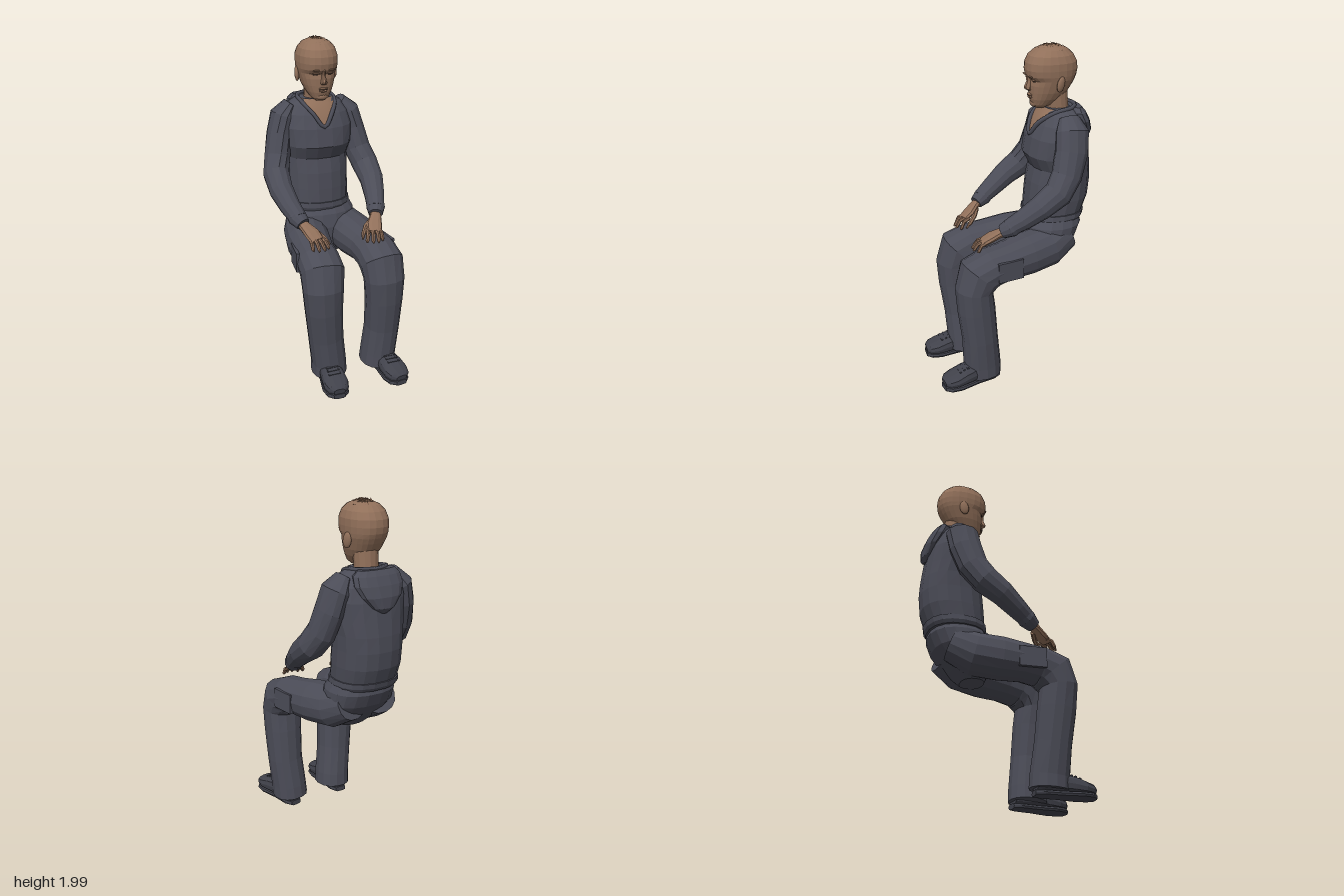
import * as THREE from 'three';

const mat = (name, color) => Object.assign(new THREE.MeshStandardMaterial({ color }), { name });
const V = (x, y, z) => new THREE.Vector3(x, y, z);

// Faceted loft: each section is [x, y, z, halfWidth, halfDepth]; p is the superellipse power.
// Sections turn with the path unless a fixed axis is given.
function loft(sections, n = 14, p = 2, axis = null) {
  const pos = [], idx = [], c = sections.map(s => V(s[0], s[1], s[2]));
  const bend = (v) => Math.sign(v) * Math.abs(v) ** (2 / p);
  sections.forEach((s, i) => {
    const t = axis ? axis.clone()
      : c[Math.min(i + 1, c.length - 1)].clone().sub(c[Math.max(i - 1, 0)]).normalize();
    const u = V(1, 0, 0).addScaledVector(t, -t.x).normalize();
    const v = t.clone().cross(u);
    for (let k = 0; k < n; k++) {
      const a = (k / n) * Math.PI * 2;
      const q = c[i].clone().addScaledVector(u, s[3] * bend(Math.cos(a))).addScaledVector(v, s[4] * bend(Math.sin(a)));
      pos.push(q.x, q.y, q.z);
    }
  });
  const last = c.length - 1, m = c.length * n;
  for (const e of [c[0], c[last]]) pos.push(e.x, e.y, e.z);
  for (let k = 0; k < n; k++) {
    const k2 = (k + 1) % n;
    for (let i = 0; i < last; i++) {
      const a = i * n + k, b = i * n + k2;
      idx.push(a, b, b + n, a, b + n, a + n);
    }
    idx.push(m, k2, k, m + 1, last * n + k, last * n + k2);
  }
  const g = new THREE.BufferGeometry();
  g.setAttribute('position', new THREE.Float32BufferAttribute(pos, 3));
  g.setIndex(idx);
  const flat = g.toNonIndexed();
  flat.computeVertexNormals();
  return flat;
}

// Upright loft from [y, halfWidth, zFront, zBack]
const UP = V(0, 1, 0);
const upright = (rows, cx = 0, n = 18, p = 2.3) =>
  loft(rows.map(([y, w, f, b]) => [cx, y, (f + b) / 2, w, (f - b) / 2]), n, p, UP);

// Front surface depth of an upright profile
function frontZ(rows, x, y, p = 2.3) {
  let i = 0;
  while (i < rows.length - 2 && rows[i + 1][0] < y) i++;
  const a = rows[i], b = rows[i + 1], k = THREE.MathUtils.clamp((y - a[0]) / (b[0] - a[0]), 0, 1);
  const [w, f, r] = [1, 2, 3].map(j => a[j] + (b[j] - a[j]) * k);
  const s = Math.max(0, 1 - Math.min(1, Math.abs(x) / w) ** p) ** (1 / p);
  return (f + r) / 2 + (f - r) / 2 * s;
}

const TORSO = [[0.95, 0.185, -0.12, -0.445], [1.0, 0.19, -0.115, -0.465], [1.08, 0.195, -0.12, -0.495],
  [1.18, 0.195, -0.13, -0.505], [1.27, 0.2, -0.15, -0.5], [1.35, 0.215, -0.11, -0.49], [1.46, 0.225, -0.13, -0.475],
  [1.54, 0.205, -0.165, -0.455], [1.59, 0.165, -0.195, -0.435], [1.625, 0.11, -0.225, -0.4]];
const HEAD = [[1.625, 0.03, -0.17, -0.23], [1.645, 0.055, -0.148, -0.27], [1.68, 0.076, -0.138, -0.33],
  [1.72, 0.093, -0.135, -0.365], [1.76, 0.104, -0.133, -0.39], [1.79, 0.112, -0.138, -0.405], [1.815, 0.117, -0.115, -0.415],
  [1.85, 0.12, -0.108, -0.42], [1.89, 0.119, -0.112, -0.415], [1.93, 0.106, -0.13, -0.393],
  [1.96, 0.08, -0.165, -0.36], [1.98, 0.04, -0.21, -0.31]];

export function createModel() {
  const cloth = mat('cloth', 0x4b4c57), shoeMat = mat('shoe', 0x41424b);
  const skin = mat('skin', 0x91705a), hairMat = mat('hair', 0x856650), eyeMat = mat('eye', 0x3f3029);
  skin.side = THREE.DoubleSide;
  const model = new THREE.Group();
  const add = (name, geo, material, parent = model) => {
    const m = new THREE.Mesh(geo, material);
    m.name = name;
    parent.add(m);
    return m;
  };

  // Sweater body, hem band and trouser seat
  add('sweater', upright(TORSO), cloth);
  add('sweaterHem', upright([[0.945, 0.19, -0.112, -0.452], [0.965, 0.2, -0.105, -0.465], [0.995, 0.197, -0.108, -0.472]]), cloth);
  add('trouserSeat', upright([[0.665, 0.09, -0.1, -0.24], [0.72, 0.16, -0.08, -0.3], [0.78, 0.195, -0.07, -0.36],
    [0.84, 0.21, -0.07, -0.41], [0.92, 0.205, -0.09, -0.445], [0.97, 0.18, -0.125, -0.435]], 0.015), cloth);

  // Folded hood hanging on the back
  add('hood', upright([[1.4, 0.02, -0.45, -0.49], [1.43, 0.07, -0.43, -0.507], [1.49, 0.125, -0.4, -0.505],
    [1.55, 0.155, -0.36, -0.485], [1.6, 0.15, -0.34, -0.46], [1.63, 0.12, -0.36, -0.435]], 0, 14), cloth);

  // V neckline: skin patch over the chest and a collar around it
  const patch = new THREE.PlaneGeometry(2, 1, 8, 6), pp = patch.attributes.position;
  for (let i = 0; i < pp.count; i++) {
    const k = pp.getY(i) + 0.5, y = 1.475 + 0.15 * k, x = pp.getX(i) * 0.105 * k;
    pp.setXYZ(i, x, y, frontZ(TORSO, x, y) + 0.005);
  }
  patch.computeVertexNormals();
  add('chestSkin', patch, skin);
  const half = [[0.06, 1.55, -0.165], [0.105, 1.61, -0.25], [0.095, 1.628, -0.36]];
  const ring = [V(0, 1.472, -0.135), ...half.map(q => V(...q)), V(0, 1.63, -0.41),
    ...half.slice().reverse().map(([x, y, z]) => V(-x, y, z))];
  add('collar', new THREE.TubeGeometry(new THREE.CatmullRomCurve3(ring, true), 40, 0.013, 6, true), cloth);

  // Neck and head
  add('neck', loft([[0, 1.56, -0.315, 0.085, 0.08], [0, 1.63, -0.305, 0.07, 0.068], [0, 1.75, -0.29, 0.072, 0.075]], 14, 2, UP), skin);
  const head = new THREE.Group();
  head.name = 'head';
  head.position.x = -0.006;
  model.add(head);
  add('skull', upright(HEAD, 0, 22), skin, head);
  add('nose', upright([[1.728, 0.012, -0.125, -0.14], [1.738, 0.022, -0.105, -0.15], [1.752, 0.018, -0.1, -0.15],
    [1.785, 0.011, -0.115, -0.15], [1.82, 0.01, -0.112, -0.14]], 0, 8, 2), skin, head);
  const blob = (name, m, x, y, z, sx, sy, sz) => {
    const b = add(name, new THREE.SphereGeometry(1, 12, 8), m, head);
    b.position.set(x, y, z);
    b.scale.set(sx, sy, sz);
    return b;
  };
  blob('upperLip', skin, 0, 1.705, -0.136, 0.03, 0.007, 0.012);
  blob('lowerLip', skin, 0, 1.69, -0.138, 0.025, 0.008, 0.012);
  blob('mouthLine', eyeMat, 0, 1.698, -0.133, 0.028, 0.002, 0.009);
  blob('chin', skin, 0, 1.652, -0.16, 0.035, 0.022, 0.02);
  for (const s of [-1, 1]) {
    blob('eye', eyeMat, s * 0.043, 1.788, frontZ(HEAD, 0.043, 1.788), 0.018, 0.005, 0.004);
    blob('eyelid', skin, s * 0.043, 1.796, frontZ(HEAD, 0.043, 1.796), 0.022, 0.006, 0.008);
    blob('brow', hairMat, s * 0.045, 1.816, frontZ(HEAD, 0.045, 1.816), 0.027, 0.005, 0.006);
    const ear = blob('ear', skin, s * 0.116, 1.775, -0.28, 0.014, 0.046, 0.028);
    ear.rotation.set(-0.2, s * 0.35, 0);
  }

  // Choppy hair swept forward and to one side
  let seed = 7;
  const rnd = () => (seed = (seed * 16807) % 2147483647) / 2147483647;
  const lock = new THREE.ConeGeometry(0.019, 0.1, 4).toNonIndexed();
  lock.scale(1, 1, 0.3);
  lock.computeVertexNormals();
  for (let i = 0; i < 80; i++) {
    const az = rnd() * Math.PI * 2, el = 0.42 + rnd() * 1.1 + (Math.sin(az) < 0 ? 0.3 : 0);
    const n = V(Math.cos(el) * Math.cos(az), Math.sin(el), Math.cos(el) * Math.sin(az));
    const at = V(n.x * 0.119, 1.835 + n.y * 0.146, -0.265 + n.z * 0.15);
    const d = V(-0.6 + rnd() * 0.7, -0.2, 0.8).addScaledVector(n, 0);
    d.addScaledVector(n, -d.dot(n)).normalize().addScaledVector(n, 0.12).normalize();
    const side = d.clone().cross(n).normalize();
    const m = add('hairLock', lock, hairMat, head);
    m.quaternion.setFromRotationMatrix(new THREE.Matrix4().makeBasis(side, d, side.clone().cross(d)));
    m.position.copy(at);
  }

  // Arms, cuffs and hands, mirrored
  for (const s of [1, -1]) {
    const arm = new THREE.Group();
    arm.name = s > 0 ? 'leftArm' : 'rightArm';
    model.add(arm);
    const part = (name, rows, m, n = 12, p = 2) => add(name, loft(rows.map(([x, ...r]) => [x * s, ...r]), n, p), m, arm);
    part('sleeve', [[0.155, 1.59, -0.315, 0.04, 0.06], [0.205, 1.52, -0.315, 0.075, 0.1], [0.235, 1.41, -0.3, 0.076, 0.1],
      [0.262, 1.28, -0.26, 0.08, 0.092], [0.29, 1.19, -0.195, 0.08, 0.085], [0.292, 1.12, -0.09, 0.073, 0.072],
      [0.27, 1.05, 0.01, 0.062, 0.06], [0.245, 1.0, 0.09, 0.052, 0.05]], cloth);
    part('cuff', [[0.262, 1.03, 0.04, 0.05, 0.05], [0.25, 1.005, 0.075, 0.058, 0.055], [0.23, 0.978, 0.125, 0.043, 0.04]], cloth);
    part('palm', [[0.24, 0.985, 0.1, 0.03, 0.025], [0.222, 0.965, 0.14, 0.036, 0.022],
      [0.195, 0.935, 0.185, 0.048, 0.021], [0.18, 0.908, 0.228, 0.044, 0.015]], skin, 10, 2.4);
    const fingers = [[0.217, 0.222, 0.218, 0.268], [0.194, 0.23, 0.186, 0.285], [0.17, 0.226, 0.153, 0.283], [0.148, 0.212, 0.122, 0.264]];
    for (const [x, z, tx, tz] of fingers)
      part('finger', [[x, 0.916, z - 0.015, 0.012, 0.012], [(x + tx) / 2, 0.902, (z + tz) / 2, 0.0125, 0.012],
        [tx, 0.872, tz - 0.008, 0.011, 0.01], [tx - 0.002, 0.862, tz, 0.005, 0.005]], skin, 7);
    part('thumb', [[0.2, 0.95, 0.135, 0.017, 0.017], [0.15, 0.925, 0.165, 0.016, 0.015],
      [0.12, 0.897, 0.2, 0.013, 0.012], [0.104, 0.875, 0.23, 0.006, 0.006]], skin, 7);
  }

  // Trouser legs: shared [y, z, halfWidth, halfDepth], each with its own x path
  const LEG = [[0.85, -0.33, 0.1, 0.1], [0.795, -0.2, 0.13, 0.125], [0.78, -0.05, 0.135, 0.125], [0.768, 0.09, 0.125, 0.112],
    [0.752, 0.19, 0.128, 0.115], [0.72, 0.262, 0.13, 0.132], [0.63, 0.296, 0.122, 0.11], [0.5, 0.285, 0.113, 0.112],
    [0.3, 0.265, 0.105, 0.107], [0.12, 0.25, 0.105, 0.113], [0.045, 0.247, 0.107, 0.115]];
  const sides = [
    ['left', 1, [0.11, 0.135, 0.165, 0.195, 0.208, 0.213, 0.217, 0.222, 0.222, 0.207, 0.202], 0.21, 0.255],
    ['right', -1, [-0.085, -0.115, -0.14, -0.155, -0.16, -0.163, -0.172, -0.165, -0.146, -0.123, -0.12], -0.13, -0.147]];
  for (const [name, s, xs, heelX, toeX] of sides) {
    const leg = new THREE.Group();
    leg.name = name + 'Leg';
    model.add(leg);
    add('trouserLeg', loft(LEG.map((r, i) => [xs[i], ...r]), 14, 2.2), cloth, leg);
    const pocket = add('thighPocket', new THREE.BoxGeometry(0.02, 0.12, 0.16), cloth, leg);
    pocket.position.set(xs[3] + s * 0.119, 0.76, 0.1);
    pocket.rotation.y = s * 0.12;

    // Shoe with sole and lace bands
    const at = (z) => heelX + (toeX - heelX) * (z - 0.15) / 0.36;
    const rows = [[0.16, 0.07, 0.045, 0.05], [0.22, 0.07, 0.06, 0.055], [0.32, 0.075, 0.066, 0.06],
      [0.38, 0.067, 0.073, 0.053], [0.44, 0.056, 0.077, 0.042], [0.485, 0.05, 0.064, 0.034], [0.508, 0.046, 0.035, 0.02]];
    add('shoe', loft(rows.map(([z, y, w, h]) => [at(z), y, z, w, h]), 14, 2.5), shoeMat, leg);
    add('sole', loft([[0.15, 0.035], [0.2, 0.058], [0.3, 0.06], [0.42, 0.079], [0.48, 0.068], [0.51, 0.035]]
      .map(([z, w]) => [at(z), 0.016, z, w, 0.016]), 12, 4), shoeMat, leg);
    for (const [z, y] of [[0.36, 0.122], [0.385, 0.117], [0.41, 0.108]]) {
      const lace = add('lace', new THREE.BoxGeometry(0.075, 0.012, 0.012), shoeMat, leg);
      lace.position.set(at(z), y, z);
      lace.rotation.x = 0.3;
    }
  }
  return model;
}
